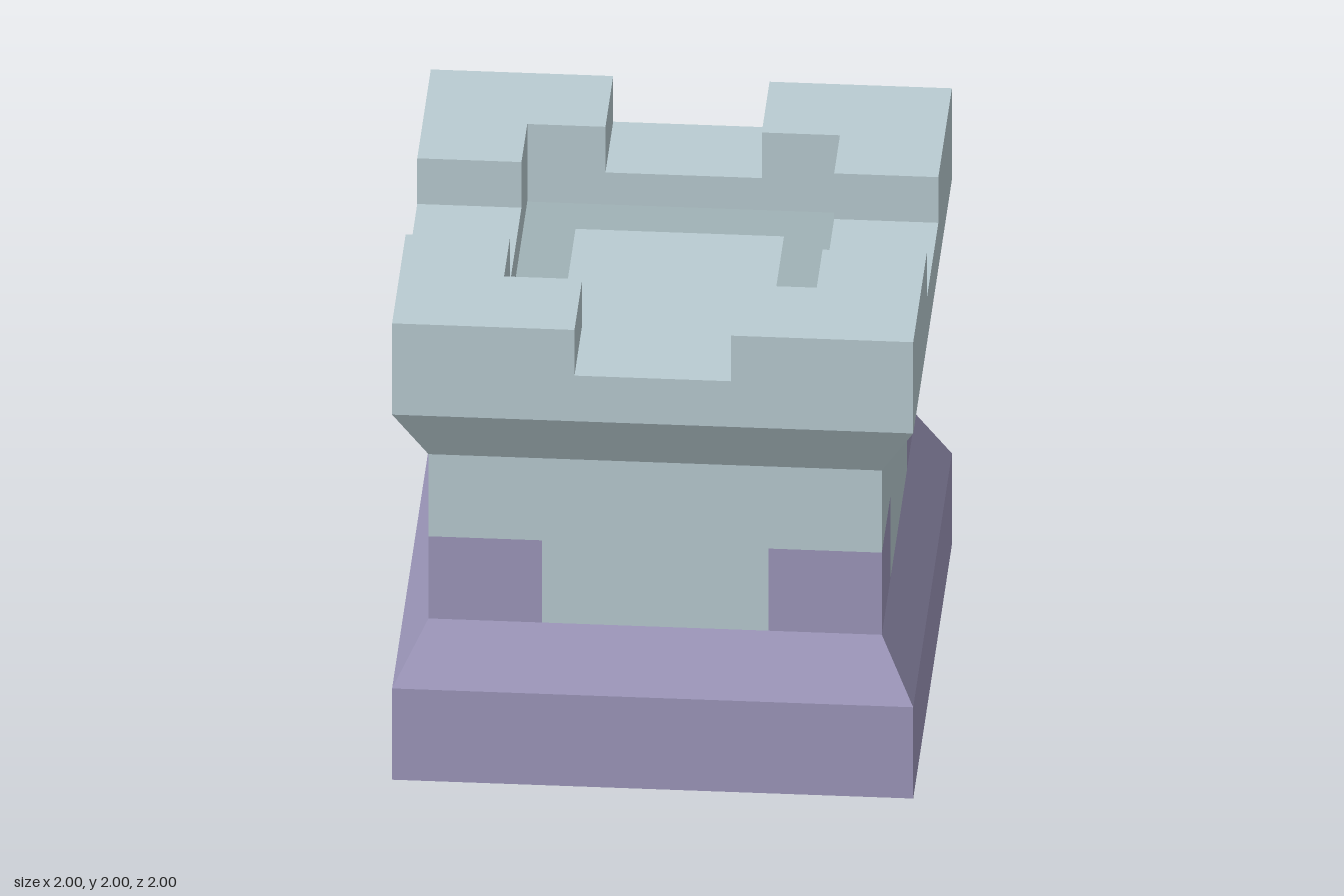
import * as THREE from 'three';

const stone = new THREE.MeshStandardMaterial({ color: 0xb9ccd2, flatShading: true });
const purple = new THREE.MeshStandardMaterial({ color: 0x9e98bc, flatShading: true });
const shade = new THREE.MeshStandardMaterial({ color: 0xa0b2b6, flatShading: true });

const BASE = 1, SHAFT = 0.87, WELL = 0.6, GAP = 0.3, FLOOR = 1.66;

function add(parent, name, geometry, material) {
  const mesh = new THREE.Mesh(geometry, material);
  mesh.name = name;
  parent.add(mesh);
  return mesh;
}

// Square block of half-width h between two heights
function block(h, y0, y1) {
  return new THREE.BoxGeometry(2 * h, y1 - y0, 2 * h).translate(0, (y0 + y1) / 2, 0);
}

// Four-sided sloping band between two half-widths
function slope(hBottom, hTop, y0, y1) {
  return new THREE.CylinderGeometry(hTop * Math.SQRT2, hBottom * Math.SQRT2, y1 - y0, 4, 1, true)
    .rotateY(Math.PI / 4)
    .translate(0, (y0 + y1) / 2, 0);
}

const points = (list) => list.map(([x, y]) => new THREE.Vector2(x, y));
const square = (h) => points([[-h, -h], [h, -h], [h, h], [-h, h]]);

// Plan outline raised between two heights
function raise(outline, y0, y1, hole) {
  const shape = new THREE.Shape(outline);
  if (hole) shape.holes.push(new THREE.Path(hole));
  return new THREE.ExtrudeGeometry(shape, { depth: y1 - y0, bevelEnabled: false })
    .rotateX(-Math.PI / 2)
    .translate(0, y0, 0);
}

export function createModel() {
  const tower = new THREE.Group();
  tower.name = 'castleTower';

  // Plinth with its sloping shoulder
  add(tower, 'plinth', block(BASE, 0, 0.4), purple);
  add(tower, 'plinthSlope', slope(BASE, SHAFT, 0.4, 0.64), purple);

  // Shaft: cross-shaped below, with coloured stones filling the corners
  const s = SHAFT, c = SHAFT / 2;
  const cross = points([
    [-c, -s], [c, -s], [c, -c], [s, -c], [s, c], [c, c],
    [c, s], [-c, s], [-c, c], [-s, c], [-s, -c], [-c, -c],
  ]);
  add(tower, 'lowerShaft', raise(cross, 0.64, 1), stone);
  add(tower, 'upperShaft', block(SHAFT, 1, 1.36), stone);

  // Flared corbel and parapet wall around the sunken roof
  add(tower, 'corbel', slope(SHAFT, BASE, 1.36, 1.6), stone);
  add(tower, 'parapet', raise(square(BASE), 1.6, 1.8, square(WELL)), stone);
  add(tower, 'roofBorder', raise(square(WELL), 1.6, FLOOR, square(0.4)), shade);
  add(tower, 'roofFloor', block(0.4, 1.6, FLOOR), stone);

  // One corner stone and one L-shaped merlon at each corner
  const ell = points([[GAP, WELL], [WELL, WELL], [WELL, GAP], [BASE, GAP], [BASE, BASE], [GAP, BASE]]);
  for (let i = 0; i < 4; i++) {
    const corner = new THREE.Group();
    corner.name = 'corner' + (i + 1);
    corner.rotation.y = (i * Math.PI) / 2;
    add(corner, 'cornerStone', block(c / 2, 0.64, 1).translate(1.5 * c, 0, 1.5 * c), purple);
    add(corner, 'merlon', raise(ell, 1.8, 2), stone);
    tower.add(corner);
  }
  return tower;
}
